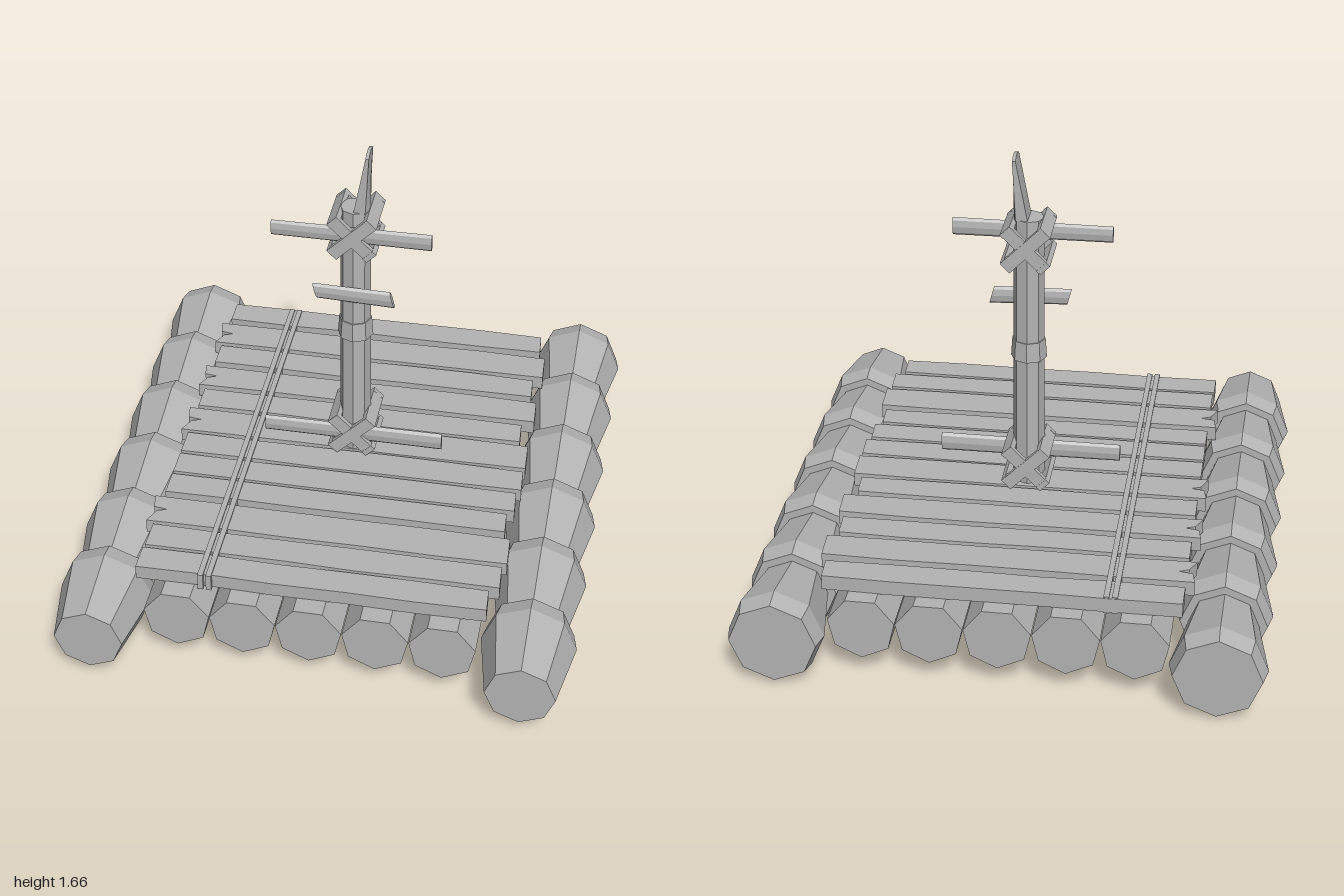
import * as THREE from 'three';

const wood = new THREE.MeshStandardMaterial({ color: 0xb4b4b4, flatShading: true });
wood.name = 'grey wood';

function add(parent, name, geometry, x = 0, y = 0, z = 0) {
  const mesh = new THREE.Mesh(geometry, wood);
  mesh.name = name;
  mesh.position.set(x, y, z);
  parent.add(mesh);
  return mesh;
}

// small repeatable wobble for hewn edges
let seed = 7;
function wobble(amount) {
  seed = (seed * 16807) % 2147483647;
  return (seed / 2147483647 - 0.5) * 2 * amount;
}

// stacked barrel-like float, narrow end of each segment facing forward
function floatGeometry() {
  const points = [new THREE.Vector2(0, -1)];
  for (let i = 0; i < 6; i++) {
    const z = -1 + i / 3;
    points.push(new THREE.Vector2(0.155, z), new THREE.Vector2(0.171, z + 0.07), new THREE.Vector2(0.125, z + 1 / 3));
  }
  points.push(new THREE.Vector2(0, 1));
  return new THREE.LatheGeometry(points, 8).rotateX(Math.PI / 2);
}

// deck board with slightly uneven edges and an optional split at its left end
function plankGeometry(z0, z1, left, right, split) {
  const shape = new THREE.Shape();
  const steps = 5;
  shape.moveTo(left, -z1);
  for (let i = 1; i < steps; i++) {
    shape.lineTo(left + ((right - left) * i) / steps, -z1 + wobble(0.004));
  }
  shape.lineTo(right, -z1 + 0.002);
  shape.lineTo(right - 0.006, -z0 - 0.004);
  for (let i = steps - 1; i > 0; i--) {
    shape.lineTo(left + ((right - left) * i) / steps, -z0 + wobble(0.004));
  }
  shape.lineTo(left, -z0);
  if (split) {
    const mid = -(z0 + z1) / 2;
    shape.lineTo(left + 0.01, mid + 0.01);
    shape.lineTo(left + 0.06, mid + 0.002);
    shape.lineTo(left + 0.025, mid - 0.012);
  }
  return new THREE.ExtrudeGeometry(shape, { depth: 0.055, bevelEnabled: false }).rotateX(-Math.PI / 2);
}

// flattened rough pole lying along x
function barGeometry(length, radius, slant = 0) {
  const g = new THREE.CylinderGeometry(radius, radius * 0.92, length, 8).rotateZ(-Math.PI / 2);
  g.scale(1, 1, 0.36);
  const p = g.attributes.position;
  for (let i = 0; i < p.count; i++) p.setX(i, p.getX(i) - p.getY(i) * slant);
  return g;
}

// crossed straps in front and behind, joined by bars along the sides
function lashing(y) {
  const group = new THREE.Group();
  group.name = 'mastLashing';
  for (const z of [0.02, -0.155]) {
    for (const turn of [1, -1]) {
      const arm = add(group, 'crossStrap', new THREE.BoxGeometry(0.205, 0.048, 0.02), 0, 0, z + turn * 0.001);
      arm.rotation.z = (turn * Math.PI) / 4;
    }
  }
  for (const sx of [1, -1]) {
    for (const sy of [1, -1]) {
      const bar = add(group, 'sideStrap', new THREE.BoxGeometry(0.02, 0.05, 0.195), sx * 0.065, sy * 0.065, -0.0675);
      bar.rotation.z = (sx * sy * Math.PI) / 4;
    }
  }
  group.position.y = y;
  return group;
}

export function createModel() {
  seed = 7;
  const raft = new THREE.Group();
  raft.name = 'raft';

  // outer floats
  const floatShape = floatGeometry();
  add(raft, 'leftFloat', floatShape, 0.77, 0.175, 0);
  add(raft, 'rightFloat', floatShape, -0.775, 0.175, 0);

  // logs under the deck
  for (let i = -2; i <= 2; i++) {
    const log = new THREE.CylinderGeometry(0.122, 0.122, 1.76, 7).rotateX(Math.PI / 2);
    add(raft, 'deckLog', log, i * 0.24 - 0.004, 0.197, -0.02);
  }

  // deck planks: back z, front z, left x, right x, split end
  const planks = [
    [-0.84, -0.735, -0.64, 0.63, false],
    [-0.7, -0.57, -0.67, 0.66, true],
    [-0.55, -0.44, -0.64, 0.63, false],
    [-0.41, -0.285, -0.67, 0.66, true],
    [-0.262, -0.155, -0.64, 0.62, false],
    [-0.137, 0, -0.67, 0.66, true],
    [0.015, 0.127, -0.64, 0.66, false],
    [0.142, 0.25, -0.64, 0.65, false],
    [0.265, 0.37, -0.64, 0.63, false],
    [0.4, 0.54, -0.67, 0.66, true],
    [0.555, 0.67, -0.64, 0.65, false],
    [0.685, 0.79, -0.645, 0.62, false],
  ];
  for (const p of planks) add(raft, 'deckPlank', plankGeometry(...p), 0, 0.306, 0);

  // cords running over the deck
  for (const x of [-0.406, -0.376]) {
    add(raft, 'deckCord', new THREE.BoxGeometry(0.02, 0.066, 1.64), x, 0.333, -0.02);
  }

  // mast with a collar at the joint
  const mast = new THREE.Group();
  mast.name = 'mast';
  add(mast, 'lowerMast', new THREE.CylinderGeometry(0.057, 0.06, 0.57, 8), 0, 0.625, 0);
  add(mast, 'upperMast', new THREE.CylinderGeometry(0.056, 0.057, 0.52, 8), 0, 1.165, 0);
  add(mast, 'mastCollar', new THREE.CylinderGeometry(0.061, 0.066, 0.075, 8), 0, 0.908, 0);

  // splintered mast tip: wide in z, tapering to its left edge
  const tip = new THREE.BoxGeometry(0.055, 0.24, 0.09, 1, 4, 4);
  const p = tip.attributes.position;
  for (let i = 0; i < p.count; i++) {
    const t = (p.getY(i) + 0.12) / 0.24;
    const side = p.getX(i) < 0 ? 1 : 0;
    const across = p.getZ(i) / 0.045;
    p.setX(i, p.getX(i) + side * 0.043 * t - (1 - side) * 0.012 * across * across * (1 - t));
    p.setY(i, p.getY(i) - 0.012 * across * across * t);
  }
  add(mast, 'splinteredTip', tip, 0.026, 1.543, 0);
  mast.position.z = -0.06;
  raft.add(mast);

  // cross bars and their lashings
  add(raft, 'upperBar', barGeometry(0.58, 0.034), -0.005, 1.343, 0.004);
  add(raft, 'middleBar', barGeometry(0.285, 0.034, 0.3), 0.003, 1.082, 0.004).rotation.z = -0.03;
  add(raft, 'lowerBar', barGeometry(0.675, 0.037), 0.003, 0.449, 0.004);
  raft.add(lashing(1.338), lashing(0.45));

  return raft;
}
